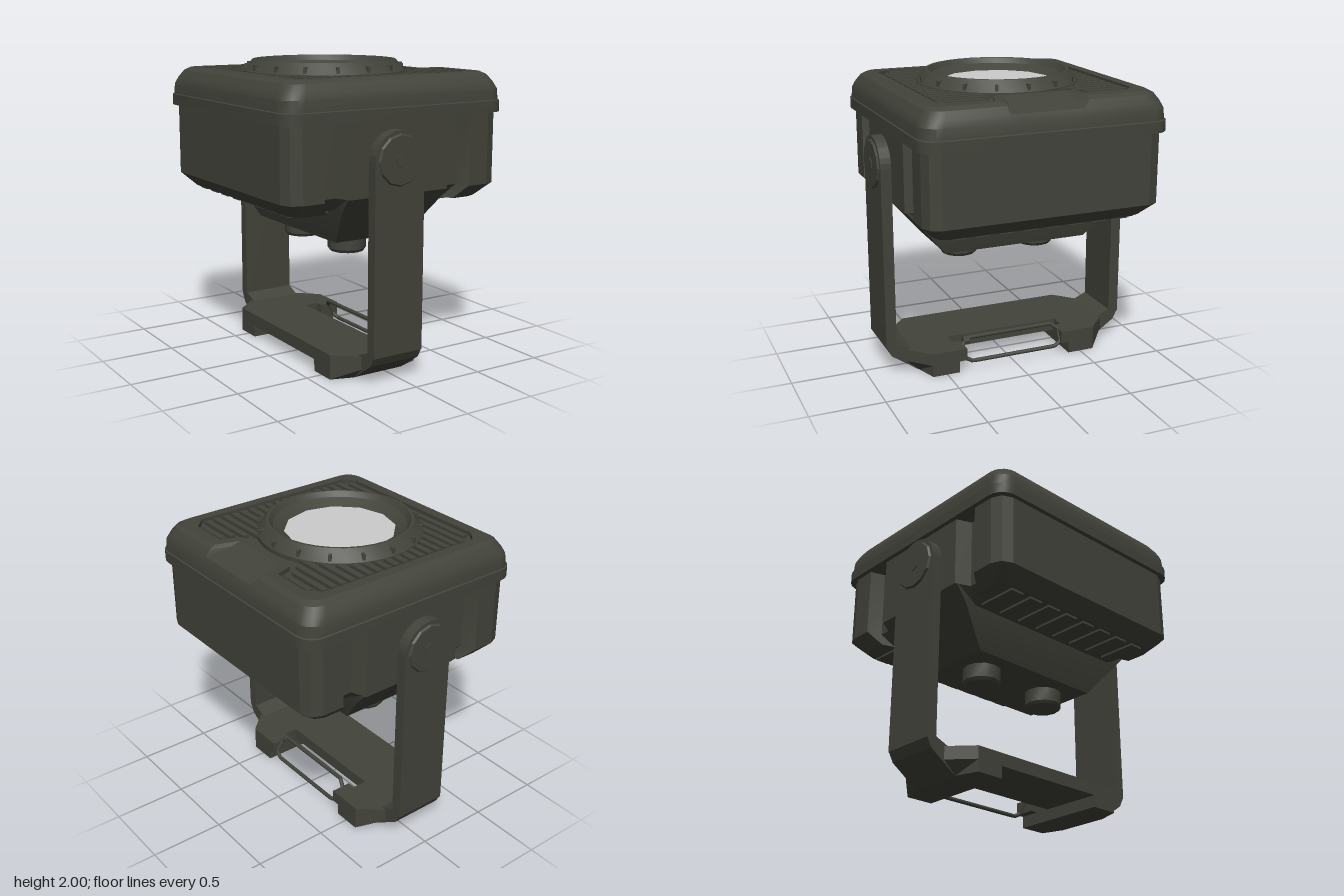
import * as THREE from 'three';
import { toCreasedNormals } from 'three/addons/utils/BufferGeometryUtils.js';

const CX = -0.055; // shared axis of the lens and the bracket

// Outlines are [x, v] pairs, counter-clockwise from above, with v = -z.
const toShape = (pts) => new THREE.Shape(pts.map(([x, v]) => new THREE.Vector2(x, v)));

// Skins a stack of { y, pts } rings; listing them top-down faces the skin inward.
function loft(rings, bottom = true, top = true) {
  const pos = [];
  const put = (ring, i) => {
    const [x, v] = ring.pts[i % ring.pts.length];
    pos.push(x, ring.y, -v);
  };
  for (let k = 0; k < rings.length - 1; k++) {
    const a = rings[k], b = rings[k + 1];
    for (let i = 0; i < a.pts.length; i++) {
      put(a, i); put(a, i + 1); put(b, i + 1);
      put(a, i); put(b, i + 1); put(b, i);
    }
  }
  const cap = (ring, flip) => {
    const contour = ring.pts.map(([x, v]) => new THREE.Vector2(x, v));
    for (const f of THREE.ShapeUtils.triangulateShape(contour, [])) {
      (flip ? [f[0], f[2], f[1]] : f).forEach((i) => put(ring, i));
    }
  };
  if (bottom) cap(rings[0], true);
  if (top) cap(rings[rings.length - 1], false);
  const g = new THREE.BufferGeometry();
  g.setAttribute('position', new THREE.Float32BufferAttribute(pos, 3));
  return toCreasedNormals(g, 0.4);
}

// Rounded square; the middle of its +x side is pulled in to scoopX.
function lidOutline(h, r, scoopX = h) {
  const pts = [[h, -0.27], [scoopX, -0.22], [scoopX, 0.22], [h, 0.27]];
  [[1, 1], [-1, 1], [-1, -1], [1, -1]].forEach(([sx, sv], q) => {
    for (let i = 0; i <= 5; i++) {
      const a = (q + i / 5) * Math.PI / 2;
      pts.push([sx * (h - r) + r * Math.cos(a), sv * (h - r) + r * Math.sin(a)]);
    }
  });
  return pts;
}

// Housing plan with two vertical channels in the front and back faces.
function bodyOutline(s) {
  const q = [[0.8, 0.7], [0.77, 0.77], [0.7, 0.8], [0.55, 0.8], [0.52, 0.7], [0.41, 0.7], [0.37, 0.8]];
  const half = [...q, ...q.map(([x, v]) => [-x, v]).reverse()];
  return [...half, ...half.map(([x, v]) => [-x, -v])].map(([x, v]) => [x * s, v * s]);
}

export function createModel() {
  const model = new THREE.Group();
  const olive = new THREE.MeshStandardMaterial({ color: 0x42433a });
  olive.name = 'dark olive';
  const glass = new THREE.MeshStandardMaterial({ color: 0xcccccc });
  glass.name = 'pale lens';

  const add = (name, geo, x = 0, y = 0, z = 0, mat = olive) => {
    const m = new THREE.Mesh(geo, mat);
    m.name = name;
    m.position.set(x, y, z);
    model.add(m);
    return m;
  };
  const box = (name, x0, x1, y0, y1, z0, z1) =>
    add(name, new THREE.BoxGeometry(x1 - x0, y1 - y0, z1 - z0), (x0 + x1) / 2, (y0 + y1) / 2, (z0 + z1) / 2);

  // Housing
  add('housing', loft([
    { y: 1.11, pts: bodyOutline(0.89) },
    { y: 1.2, pts: bodyOutline(1) },
    { y: 1.68, pts: bodyOutline(1) },
  ]));
  const rect = (x, v) => [[x, -v], [x, v], [-x, v], [-x, -v]];
  add('lowerHousing', loft([
    { y: 0.865, pts: rect(0.28, 0.5) },
    { y: 1.1, pts: rect(0.365, 0.7) },
    { y: 1.2, pts: rect(0.38, 0.79) },
  ]));
  for (const s of [-1, 1]) {
    for (let i = 0; i < 8; i++) {
      const z = -0.56 + i * 0.16;
      box('coolingFin', s * 0.55 - 0.14, s * 0.55 + 0.14, 1.095, 1.13, z - 0.05, z + 0.05);
    }
    // Cable glands underneath
    add('cableGland', toCreasedNormals(new THREE.CylinderGeometry(0.128, 0.128, 0.1, 12), 0.6), CX, 0.82, s * 0.285);
    add('cableGlandTip', toCreasedNormals(new THREE.CylinderGeometry(0.128, 0.115, 0.02, 12), 0.6), CX, 0.76, s * 0.285);
  }

  // Lid with rounded shoulder and a finger scoop on its left side
  const top = lidOutline(0.73, 0.1, 0.57);
  add('lid', loft([
    { y: 1.672, pts: lidOutline(0.83, 0.12) },
    { y: 1.745, pts: lidOutline(0.83, 0.12) },
    { y: 1.75, pts: lidOutline(0.822, 0.12) },
    { y: 1.82, pts: lidOutline(0.817, 0.12) },
    { y: 1.865, pts: lidOutline(0.797, 0.12) },
    { y: 1.91, pts: lidOutline(0.765, 0.11, 0.64) },
    { y: 1.93, pts: top },
  ], true, false));
  const upper = [[0.52, 0.22], [0.54, 0.27], [0.66, 0.31], [0.66, 0.58], [0.58, 0.66], [-0.6, 0.66], [-0.66, 0.58]];
  const panel = [...upper, ...upper.map(([x, v]) => [x, -v]).reverse()];
  const topShape = toShape(top);
  topShape.holes.push(toShape(panel));
  add('lidTop', new THREE.ShapeGeometry(topShape).rotateX(-Math.PI / 2), 0, 1.93);
  add('panelWall', loft([{ y: 1.93, pts: panel }, { y: 1.9, pts: panel }], false, false));
  add('panelFloor', new THREE.ShapeGeometry(toShape(panel)).rotateX(-Math.PI / 2), 0, 1.9);

  // Ribs of the top panel, stopped by the lens ring and the scoop
  for (let i = 0; i < 19; i++) {
    const x = -0.61 + i * 0.0685;
    const d = Math.abs(x - CX);
    let inner = d < 0.5 ? Math.sqrt(0.25 - d * d) : 0;
    if (x > 0.46) inner = Math.max(inner, x > 0.54 ? 0.33 : 0.28);
    const outer = Math.abs(x) > 0.59 ? 0.58 : 0.635;
    for (const s of [-1, 1]) {
      box('panelRib', x - 0.02, x + 0.02, 1.895, 1.924, Math.min(s * inner, s * outer), Math.max(s * inner, s * outer));
    }
  }

  // Lens and its ring
  const profile = [[0.54, 1.89], [0.54, 1.928], [0.478, 2], [0.46, 2], [0.435, 1.965], [0.355, 1.92]];
  const ring = new THREE.LatheGeometry(profile.map(([r, y]) => new THREE.Vector2(r, y)), 32);
  add('lensRing', toCreasedNormals(ring.toNonIndexed(), 0.4), CX);
  add('lens', new THREE.CircleGeometry(0.365, 12).rotateX(-Math.PI / 2), CX, 1.926, 0, glass);
  for (let i = 0; i < 16; i++) {
    const a = (i / 16) * Math.PI * 2;
    const tooth = add('ringTooth', new THREE.BoxGeometry(0.05, 0.04, 0.02),
      CX + 0.507 * Math.cos(a), 1.955, 0.507 * Math.sin(a));
    tooth.rotation.y = -a;
  }

  // Mounting bracket, one half per side
  const arm = new THREE.Shape();
  arm.moveTo(CX - 0.185, 0.19);
  arm.lineTo(CX + 0.185, 0.19);
  arm.lineTo(CX + 0.185, 1.43);
  arm.absarc(CX, 1.43, 0.185, 0, Math.PI, false);
  const armGeo = new THREE.ExtrudeGeometry(arm, { depth: 0.072, bevelEnabled: false, curveSegments: 8 });
  const bend = toShape([[0.877, 0.2], [0.805, 0.21], [0.7, 0.165], [0.5, 0.165], [0.5, 0.005], [0.66, 0.005], [0.84, 0.13]]);
  const bendGeo = new THREE.ExtrudeGeometry(bend, { depth: 0.37, bevelEnabled: false })
    .translate(0, 0, -0.185).rotateY(-Math.PI / 2);
  const foot = [[0.28, -0.6], [0.28, -0.41], [-0.39, -0.41], [-0.39, -0.6], [-0.24, -0.74], [0.13, -0.74]];
  const footGeo = loft([
    { y: 0, pts: foot.map(([x, v]) => [x, Math.max(v, -0.65)]) },
    { y: 0.08, pts: foot },
    { y: 0.165, pts: foot },
  ]);
  for (const s of [1, -1]) {
    const turn = s > 0 ? 0 : Math.PI;
    add('bracketArm', armGeo, 0, 0, s > 0 ? 0.805 : -0.877);
    // the second half is turned about the bracket axis
    add('bracketBend', bendGeo, CX).rotation.y = turn;
    const f = add('bracketFoot', footGeo, s > 0 ? 0 : 2 * CX);
    f.rotation.y = turn;
    const cap = new THREE.CylinderGeometry(0.155, 0.17, 0.02, 12).rotateX(Math.PI / 2 * s);
    add('pivotCap', toCreasedNormals(cap, 0.4), CX, 1.43, s * 0.88);
    const bolt = new THREE.CylinderGeometry(0.045, 0.045, 0.02, 6).rotateX(Math.PI / 2);
    add('pivotBolt', toCreasedNormals(bolt, 0.4), CX, 1.43, s * 0.886);
    box('loopLug', 0.14, 0.28, 0.08, 0.165, s * 0.385 - 0.03, s * 0.385 + 0.03);
  }
  box('bracketPlate', -0.39, 0.04, 0.08, 0.165, -0.42, 0.42);

  // Wire safety loop across the notch of the bracket
  const side = [[0.06, 0.31], [0.085, 0.36], [0.165, 0.36], [0.2, 0.31]];
  const loop = [...side, ...side.map(([y, z]) => [y, -z]).reverse()]
    .map(([y, z]) => new THREE.Vector3(0.26 - (y - 0.06) * 0.57, y, z));
  const path = new THREE.CatmullRomCurve3(loop, true, 'catmullrom', 0);
  add('safetyLoop', new THREE.TubeGeometry(path, 80, 0.014, 8, true));
  const stud = new THREE.CylinderGeometry(0.028, 0.028, 0.04, 8).rotateX(Math.PI / 2);
  add('loopStud', toCreasedNormals(stud, 0.4), 0.18, 0.185, 0.33);
  return model;
}
